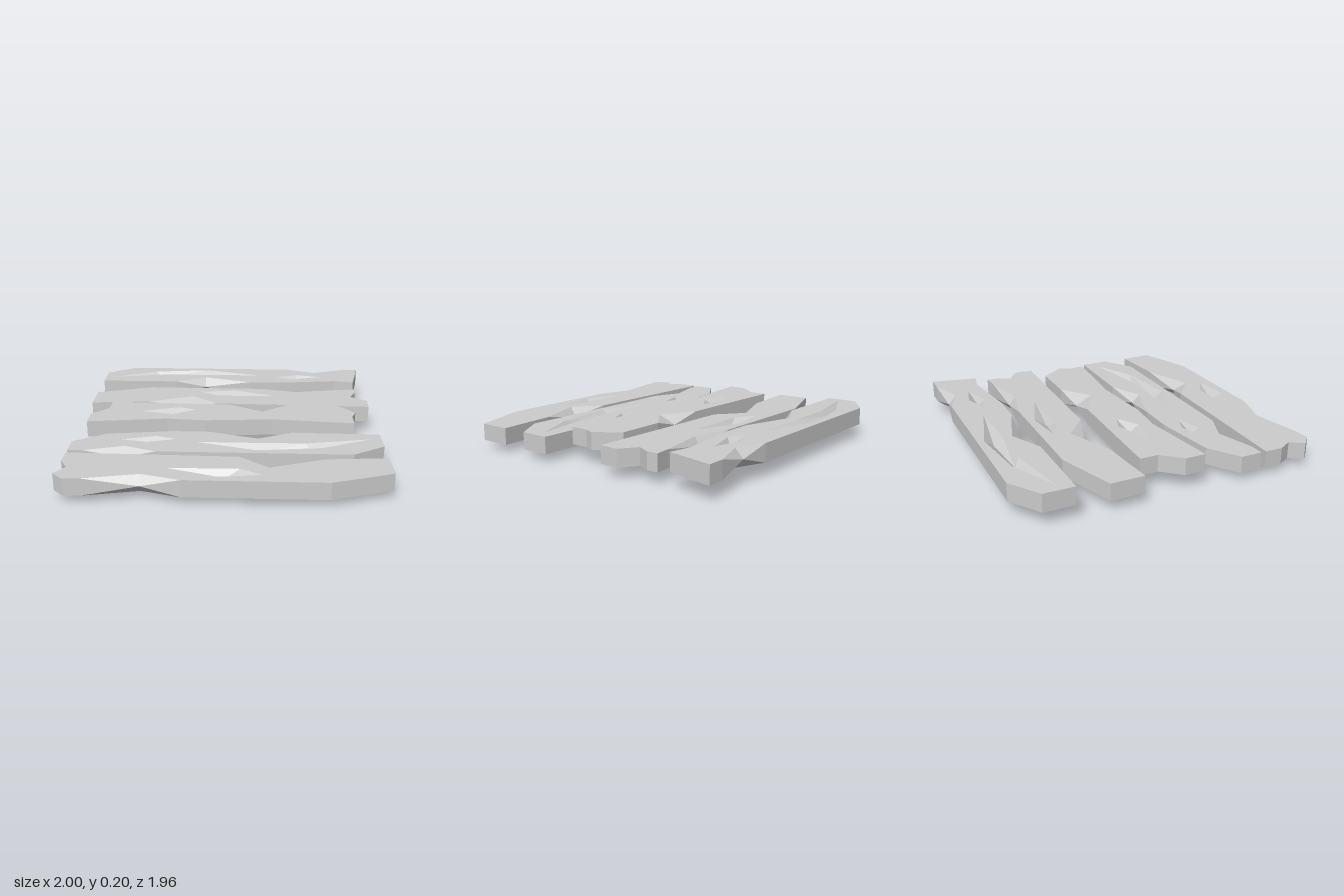
import * as THREE from 'three';

const wood = new THREE.MeshStandardMaterial({ color: 0xcccccc });
wood.name = 'pale grey';

// Builds one chipped plank.
// outline: [x, z] corners, clockwise from above; a chip is [x, z, midX, midZ],
//   cut in at the top and bottom edges and bulging out at mid height.
// dents: rows of [left, right, back rim, valley, front rim].
function plank(name, y0, y1, outline, dents, pushBottom = 0.045) {
  const pos = [];
  const tri = (a, b, c) => pos.push(...a, ...b, ...c);
  const at = (p, y) => [p[0], y, p[1]];

  // Adds a triangle turned to face up (+1) or down (-1)
  const facing = (a, b, c, sign) => {
    const ny = (b[2] - a[2]) * (c[0] - a[0]) - (b[0] - a[0]) * (c[2] - a[2]);
    if (Math.abs(ny) < 1e-7) return;
    if (ny * sign > 0) tri(a, b, c); else tri(a, c, b);
  };

  // Side walls, fanned around the mid point of a chip
  outline.forEach((p, i) => {
    const n = outline[(i + 1) % outline.length];
    const mid = (q) => [q[2], (y0 + y1) / 2, q[3]];
    const pt = at(p, y1), pb = at(p, y0), nt = at(n, y1), nb = at(n, y0);
    if (n.length > 2) {
      const m = mid(n);
      tri(pt, nt, m); tri(pt, m, pb); tri(pb, m, nb);
    } else if (p.length > 2) {
      const m = mid(p);
      tri(pt, nt, m); tri(m, nt, nb); tri(m, nb, pb);
    } else {
      tri(pt, nt, nb); tri(pt, nb, pb);
    }
  });

  // Flat top and bottom, left open at the dents
  const vec = (p) => new THREE.Vector2(p[0], p[1]);
  const contour = outline.map(vec).reverse();
  const holes = dents.map(([l, r, back, , front]) =>
    [l, ...back, r, ...[...front].reverse()].map(vec));
  const all = [contour, ...holes].flat();
  const faces = THREE.ShapeUtils.triangulateShape(contour, holes);
  for (const [y, sign, depth] of [[y1, 1, -0.045], [y0, -1, pushBottom]]) {
    for (const f of faces) facing(...f.map((k) => [all[k].x, y, all[k].y]), sign);

    // Sloping faces of each dent, rim to valley to rim
    for (const [l, r, back, valley, front] of dents) {
      const row = (pts, h) => [at(l, y), ...pts.map((p) => at(p, h)), at(r, y)];
      const v = row(valley, y + depth);
      for (const rim of [row(back, y), row(front, y)]) {
        for (let i = 0; i < v.length - 1; i++) {
          facing(rim[i], rim[i + 1], v[i], sign);
          facing(rim[i + 1], v[i + 1], v[i], sign);
        }
      }
    }
  }

  const geo = new THREE.BufferGeometry();
  geo.setAttribute('position', new THREE.Float32BufferAttribute(pos, 3));
  geo.computeVertexNormals();
  const mesh = new THREE.Mesh(geo, wood);
  mesh.name = name;
  return mesh;
}

export function createModel() {
  const group = new THREE.Group();
  group.name = 'plankWalkway';

  group.add(plank('backPlank', 0.09, 0.205,
    [[-0.98, -0.85], [-0.78, -0.98], [0.45, -0.965], [0.64, -0.885, 0.64, -0.94],
      [0.88, -0.965], [0.995, -0.965], [0.93, -0.655], [0.79, -0.685], [0.37, -0.635],
      [0.14, -0.64], [-0.2, -0.75, -0.2, -0.69], [-0.42, -0.645], [-0.98, -0.65]],
    [[[-0.93, -0.74], [0.21, -0.81], [[-0.6, -0.885], [-0.2, -0.93]],
      [[-0.55, -0.85], [-0.2, -0.87]], [[-0.5, -0.815], [-0.2, -0.81]]],
    [[0.34, -0.77], [0.69, -0.78], [[0.51, -0.825]], [[0.51, -0.765]], [[0.47, -0.72]]]]));

  group.add(plank('midBackPlank', 0.07, 0.18,
    [[-0.99, -0.45], [-0.6, -0.575], [0.22, -0.56], [0.49, -0.495, 0.49, -0.54],
      [0.82, -0.555], [0.925, -0.565], [0.925, -0.49], [0.88, -0.4], [0.99, -0.32],
      [0.985, -0.195], [-0.09, -0.235], [-0.27, -0.385, -0.3, -0.3],
      [-0.59, -0.26], [-0.99, -0.23]],
    [[[-0.23, -0.485], [0.34, -0.4], [[0.04, -0.515]], [[0.02, -0.44]], [[-0.09, -0.4]]]]));

  group.add(plank('middlePlank', 0.095, 0.205,
    [[-0.83, -0.18], [0, -0.145], [0.23, -0.015, 0.22, -0.135], [0.43, -0.165],
      [0.75, -0.16], [0.865, -0.005], [0.835, 0.065], [0.835, 0.185], [0.29, 0.13],
      [-0.16, 0.16], [-0.41, 0.135], [-0.94, 0.2], [-0.94, 0.065], [-0.83, -0.06]],
    [[[-0.6, 0], [-0.23, -0.04], [[-0.35, -0.085]], [[-0.38, -0.02]], [[-0.38, 0.05]]]]));

  group.add(plank('midFrontPlank', 0.05, 0.16,
    [[-0.99, 0.43], [-0.79, 0.3], [-0.37, 0.245], [-0.12, 0.25], [0.2, 0.355, 0.2, 0.3],
      [0.42, 0.25], [0.99, 0.265], [0.99, 0.46], [0.785, 0.59], [-0.44, 0.575],
      [-0.64, 0.495, -0.64, 0.545], [-0.9, 0.57], [-0.99, 0.57]],
    [[[-0.68, 0.39], [-0.33, 0.375], [[-0.46, 0.33]], [[-0.47, 0.385]], [[-0.51, 0.43]]],
      [[-0.2, 0.42], [0.93, 0.345], [[0.2, 0.425], [0.5, 0.425]],
        [[0.19, 0.48], [0.54, 0.46]], [[0.19, 0.54], [0.6, 0.495]]]]));

  // The dent of the front plank bulges out underneath
  group.add(plank('frontPlank', 0.05, 0.16,
    [[-0.99, 0.605], [0.08, 0.64], [0.26, 0.79, 0.3, 0.705], [0.6, 0.665],
      [0.99, 0.635], [0.99, 0.85], [0.61, 0.98], [-0.25, 0.97],
      [-0.49, 0.895, -0.49, 0.945], [-0.83, 0.965], [-0.93, 0.97], [-1, 0.9],
      [-0.94, 0.815], [-0.99, 0.725]],
    [[[-0.35, 0.81], [0.22, 0.89], [[0.09, 0.81]], [[0, 0.85]], [[-0.04, 0.92]]]],
    -0.05));

  return group;
}
